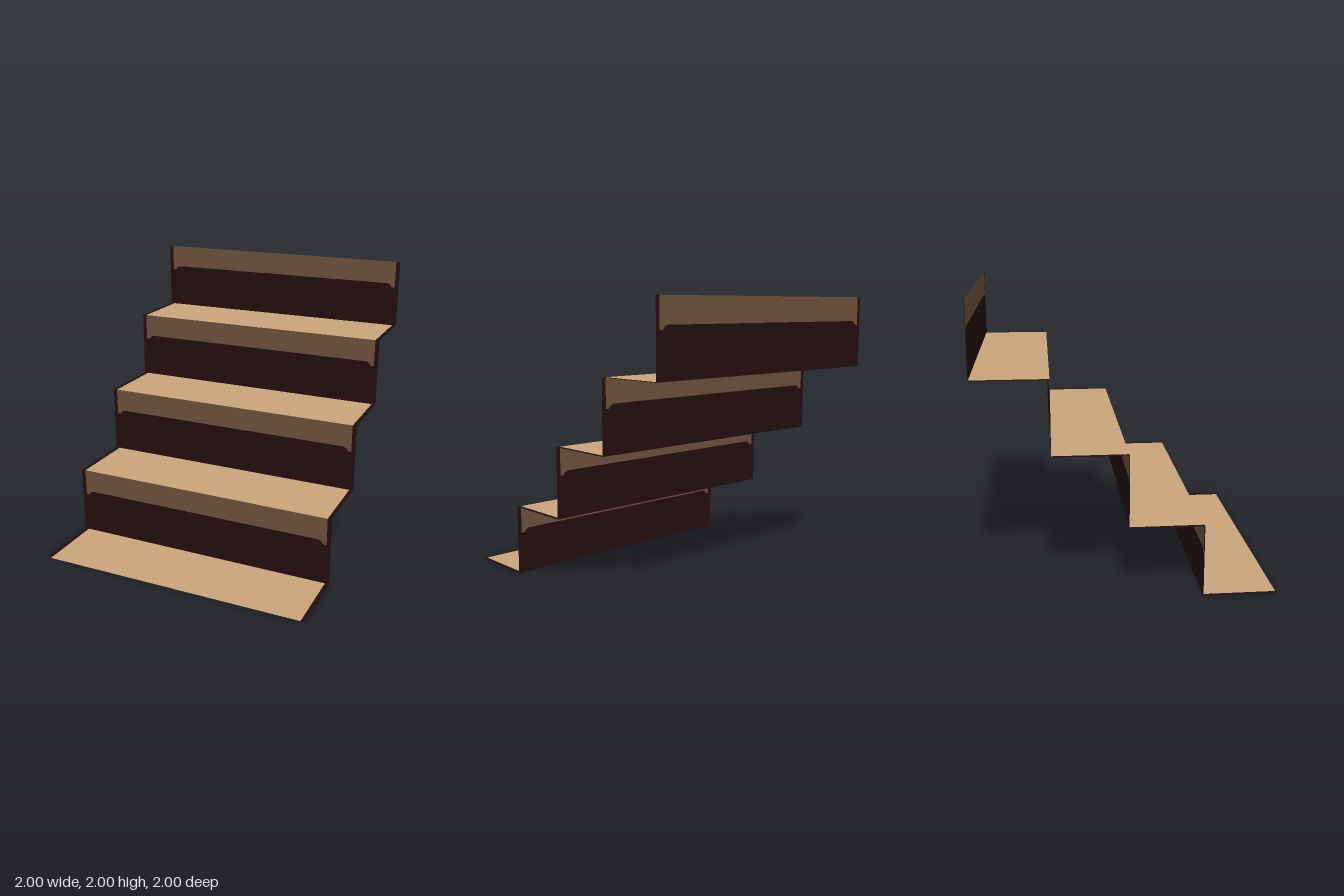
import * as THREE from 'three';

const STEPS = 4, SIZE = 0.5, HALF = 1, INNER = 0.97;

const mat = (name, color) => {
  const m = new THREE.MeshStandardMaterial({ color, side: THREE.DoubleSide });
  m.name = name;
  return m;
};

// Lower border of the riser's upper band, drawn left to right
function traceBandBorder(shape) {
  shape.lineTo(-INNER, 0.3);
  shape.lineTo(-0.95, 0.3);
  shape.quadraticCurveTo(-0.94, 0.302, -0.935, 0.315);
  shape.quadraticCurveTo(-0.92, 0.33, -0.9, 0.33);
  shape.lineTo(0.9, 0.33);
  shape.quadraticCurveTo(0.92, 0.33, 0.935, 0.315);
  shape.quadraticCurveTo(0.94, 0.302, 0.95, 0.3);
  shape.lineTo(INNER, 0.3);
}

export function createModel() {
  const tan = mat('tan wood', 0xc8a47b);
  const brown = mat('brown wood', 0x6b4f3c);
  const dark = mat('dark wood', 0x230e0d);

  // Riser band: straight top, shaped lower border
  const band = new THREE.Shape();
  band.moveTo(-INNER, SIZE);
  traceBandBorder(band);
  band.lineTo(INNER, SIZE);
  band.closePath();

  // Riser frame: the rest of the riser, wrapping the band on three sides
  const frame = new THREE.Shape();
  frame.moveTo(-HALF, SIZE);
  frame.lineTo(-INNER, SIZE);
  traceBandBorder(frame);
  frame.lineTo(INNER, SIZE);
  frame.lineTo(HALF, SIZE);
  frame.lineTo(HALF, 0);
  frame.lineTo(-HALF, 0);
  frame.closePath();

  const bandGeo = new THREE.ShapeGeometry(band, 5);
  const frameGeo = new THREE.ShapeGeometry(frame, 5);
  const treadGeo = new THREE.PlaneGeometry(INNER * 2, SIZE).rotateX(-Math.PI / 2);
  const edgeGeo = new THREE.PlaneGeometry(HALF - INNER, SIZE).rotateX(-Math.PI / 2);

  const stairs = new THREE.Group();
  stairs.name = 'stairs';

  for (let i = 0; i < STEPS; i++) {
    const step = new THREE.Group();
    step.name = `step${i + 1}`;
    step.position.set(0, i * SIZE, 1 - (i + 1) * SIZE); // foot of the riser
    const add = (name, geo, material, x, z) => {
      const mesh = new THREE.Mesh(geo, material);
      mesh.name = name;
      mesh.position.set(x, 0, z);
      step.add(mesh);
    };
    add('riserBand', bandGeo, brown, 0, 0);
    add('riserFrame', frameGeo, dark, 0, 0);
    add('tread', treadGeo, tan, 0, SIZE / 2);
    add('leftTreadEdge', edgeGeo, dark, (HALF + INNER) / 2, SIZE / 2);
    add('rightTreadEdge', edgeGeo, dark, -(HALF + INNER) / 2, SIZE / 2);
    stairs.add(step);
  }
  return stairs;
}
